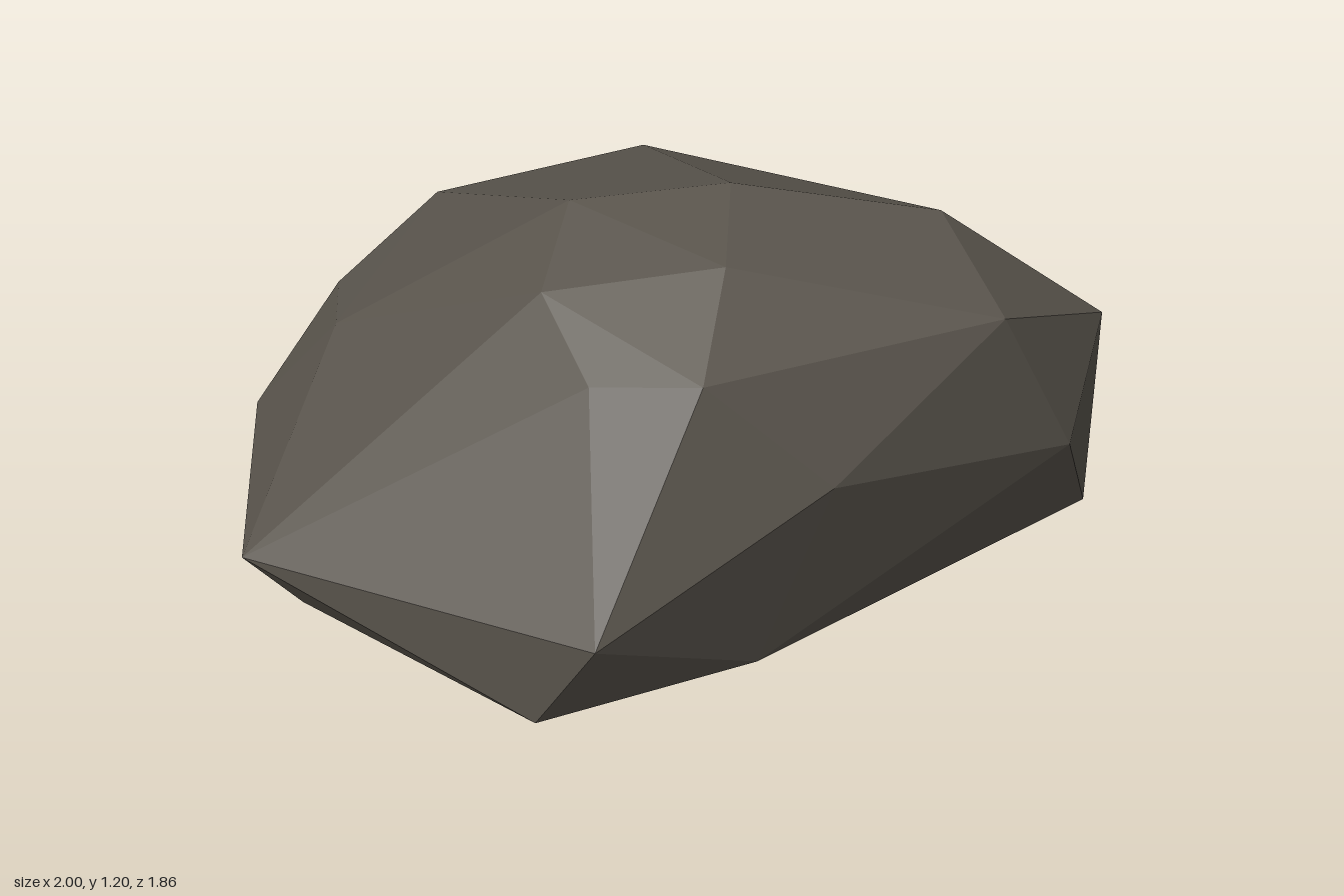
import * as THREE from 'three';
import { ConvexGeometry } from 'three/addons/geometries/ConvexGeometry.js';

// Corner points of the boulder, grouped by zone: [x, y, z]
const crown = [
  [0.14, 1.2, 0.31], [0.54, 1.135, 0.58], [-0.06, 1.16, 0.58], [-0.17, 1.155, 0.11],
  [-0.37, 1.065, 0.31], [-0.41, 0.96, 0.57], [-0.3, 1.02, 0], [0.31, 1.0, -0.31],
];
const frontFace = [
  [0.5, 1.0, 0.875], [-0.25, 1.01, 0.775], [0, 0.75, 0.925],
  [0.69, 0.63, 0.915], [-0.57, 0.48, 0.845], [0.88, 0.86, 0.78],
];
const sides = [
  [-1, 0.41, 0], [-0.43, 0.905, 0.05], [-0.55, 0.73, -0.35],
  [1, 0.23, 0.65], [0.905, 0.79, 0.43], [0.48, 0.8, -0.47], [0.75, 0.295, -0.54],
];
const backFace = [
  [-0.6, 0.34, -0.72], [-0.11, 0.55, -0.93], [0.23, 0.65, -0.85],
  [-0.02, 0.76, -0.78], [-0.36, 0.63, -0.7],
];
const underside = [
  [0.065, 0, -0.15], [-0.35, 0.085, 0.435], [0.58, 0.15, 0.385], [-0.11, 0.26, 0.81],
  [-0.63, 0.22, 0.69], [-0.87, 0.26, 0.04], [-0.58, 0.2, -0.54],
  [0.05, 0.24, -0.83], [0.45, 0.235, -0.615],
];

export function createModel() {
  const stone = new THREE.MeshStandardMaterial({ color: 0x5a554d, flatShading: true });
  stone.name = 'dark stone';

  // Faceted boulder wrapped around the corner points
  const corners = [...crown, ...frontFace, ...sides, ...backFace, ...underside]
    .map((p) => new THREE.Vector3(...p));
  const boulder = new THREE.Mesh(new ConvexGeometry(corners), stone);
  boulder.name = 'boulder';

  const group = new THREE.Group();
  group.name = 'rock';
  group.add(boulder);
  return group;
}
